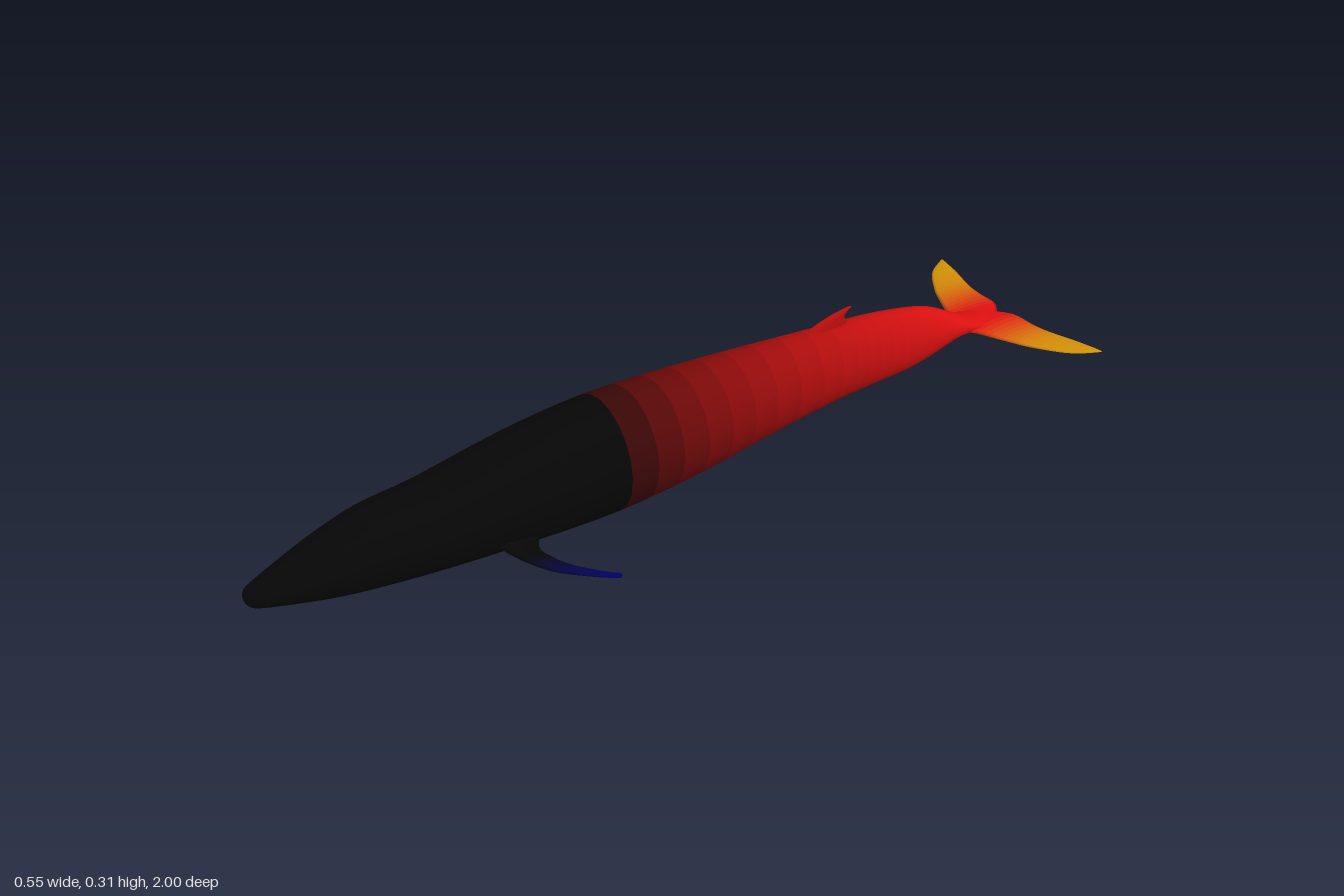
import * as THREE from 'three';

const BLACK = new THREE.Color(0x060606);
const RED = new THREE.Color(0xdd1010);
const ORANGE = new THREE.Color(0xd09008);
const BLUE = new THREE.Color(0x00006a);

const V = (x, y, z) => new THREE.Vector3(x, y, z);
const spline = (pts) => new THREE.CatmullRomCurve3(pts, false, 'catmullrom', 0.5);

// Skin closed rings into one smooth surface, one colour step per band.
function loft(name, rings, colorAt) {
  const n = rings[0].length;
  const geo = new THREE.BufferGeometry().setFromPoints(rings.flat());
  const index = [];
  const materials = [];
  for (let i = 0; i < rings.length - 1; i++) {
    geo.addGroup(index.length, n * 6, i);
    materials.push(new THREE.MeshStandardMaterial({ color: colorAt((i + 0.5) / (rings.length - 1)) }));
    for (let j = 0; j < n; j++) {
      const a = i * n + j, b = i * n + (j + 1) % n;
      index.push(a, a + n, b, b, a + n, b + n);
    }
  }
  geo.setIndex(index);
  geo.computeVertexNormals();
  const mesh = new THREE.Mesh(geo, materials);
  mesh.name = name;
  return mesh;
}

// Lens-section blade between a leading and a trailing edge curve.
function blade(name, edges, thickRoot, thickTip, colorAt, side = 1, steps = 20, sides = 12) {
  const lead = spline(edges.map(([l]) => V(l[0] * side, l[1], l[2])));
  const trail = spline(edges.map(([, t]) => V(t[0] * side, t[1], t[2])));
  const mid = (u) => lead.getPoint(u).add(trail.getPoint(u)).multiplyScalar(0.5);
  const rings = [];
  for (let i = 0; i <= steps; i++) {
    const u = i / steps;
    const center = mid(u);
    const half = lead.getPoint(u).sub(trail.getPoint(u)).multiplyScalar(0.5);
    const span = mid(Math.min(1, u + 0.02)).sub(mid(Math.max(0, u - 0.02)));
    const normal = half.clone().cross(span).normalize();
    const thick = i === steps ? 0 : THREE.MathUtils.lerp(thickRoot, thickTip, u);
    rings.push(Array.from({ length: sides }, (_, j) => {
      const a = (j / sides) * Math.PI * 2;
      return center.clone().addScaledVector(half, Math.cos(a)).addScaledVector(normal, thick * Math.sin(a));
    }));
  }
  return loft(name, rings, colorAt);
}

const bodyColor = (z) => BLACK.clone().lerp(RED, THREE.MathUtils.clamp((0.22 - z) / 0.95, 0, 1));

// Body stations: z, top y, bottom y, half width
const STATIONS = [
  [1.0, 0.16, 0.16, 0], [0.993, 0.175, 0.143, 0.018], [0.97, 0.184, 0.133, 0.032],
  [0.9, 0.205, 0.118, 0.056], [0.82, 0.232, 0.101, 0.075], [0.73, 0.254, 0.088, 0.089],
  [0.6, 0.262, 0.075, 0.103], [0.4, 0.294, 0.058, 0.116], [0.2, 0.311, 0.047, 0.12],
  [0, 0.304, 0.056, 0.112], [-0.2, 0.293, 0.074, 0.089], [-0.4, 0.278, 0.087, 0.066],
  [-0.52, 0.268, 0.088, 0.055], [-0.63, 0.25, 0.089, 0.046], [-0.71, 0.227, 0.102, 0.039],
  [-0.79, 0.184, 0.127, 0.037], [-0.85, 0.16, 0.133, 0.042], [-0.9, 0.152, 0.137, 0.03],
  [-0.925, 0.144, 0.144, 0],
];

function makeBody() {
  const profile = spline(STATIONS.map(([z, top, bottom]) => V(z, top, bottom)));
  const widths = spline(STATIONS.map(([z, , , w]) => V(z, w, 0)));
  const steps = (STATIONS.length - 1) * 3, sides = 20;
  const rings = [];
  for (let i = 0; i <= steps; i++) {
    const { x: z, y: top, z: bottom } = profile.getPoint(i / steps);
    const w = widths.getPoint(i / steps).y;
    rings.push(Array.from({ length: sides }, (_, j) => {
      const a = (j / sides) * Math.PI * 2;
      return V(w * Math.cos(a), (top + bottom) / 2 + (top - bottom) / 2 * Math.sin(a), z);
    }));
  }
  return loft('body', rings, (u) => bodyColor(profile.getPoint(u).x));
}

// Edge pairs [leading point, trailing point], root to tip
const FLIPPER = [
  [[0.08, 0.138, 0.52], [0.08, 0.115, 0.4]],
  [[0.114, 0.118, 0.495], [0.11, 0.095, 0.42]],
  [[0.136, 0.094, 0.463], [0.13, 0.073, 0.4]],
  [[0.156, 0.067, 0.42], [0.148, 0.049, 0.365]],
  [[0.172, 0.04, 0.36], [0.163, 0.026, 0.32]],
  [[0.181, 0.014, 0.295], [0.174, 0.007, 0.285]],
  [[0.18, 0.002, 0.268], [0.179, 0.001, 0.267]],
];
const FLUKE = [
  [[0, 0.146, -0.77], [0, 0.143, -0.928]],
  [[0.042, 0.144, -0.812], [0.035, 0.143, -0.953]],
  [[0.085, 0.143, -0.835], [0.085, 0.142, -0.956]],
  [[0.128, 0.143, -0.856], [0.122, 0.142, -0.96]],
  [[0.168, 0.142, -0.879], [0.156, 0.142, -0.969]],
  [[0.236, 0.142, -0.932], [0.21, 0.142, -0.986]],
  [[0.274, 0.142, -0.996], [0.272, 0.142, -1.0]],
];
const DORSAL = [
  [[0, 0.262, -0.3], [0, 0.25, -0.462]],
  [[0, 0.288, -0.35], [0, 0.276, -0.455]],
  [[0, 0.303, -0.4], [0, 0.29, -0.447]],
  [[0, 0.309, -0.437], [0, 0.303, -0.456]],
  [[0, 0.311, -0.465], [0, 0.31, -0.466]],
];

export function createModel() {
  const model = new THREE.Group();
  model.name = 'whale';
  model.add(makeBody());
  model.add(blade('dorsalFin', DORSAL, 0.011, 0.003, () => bodyColor(-0.4)));

  // Paired fins
  for (const [label, side] of [['left', 1], ['right', -1]]) {
    model.add(blade(label + 'Flipper', FLIPPER, 0.012, 0.005,
      (u) => BLACK.clone().lerp(BLUE, THREE.MathUtils.smoothstep(u, 0.25, 1)), side));
    model.add(blade(label + 'Fluke', FLUKE, 0.011, 0.003,
      (u) => RED.clone().lerp(ORANGE, THREE.MathUtils.smoothstep(u, 0.1, 0.85)), side));
  }
  return model;
}
